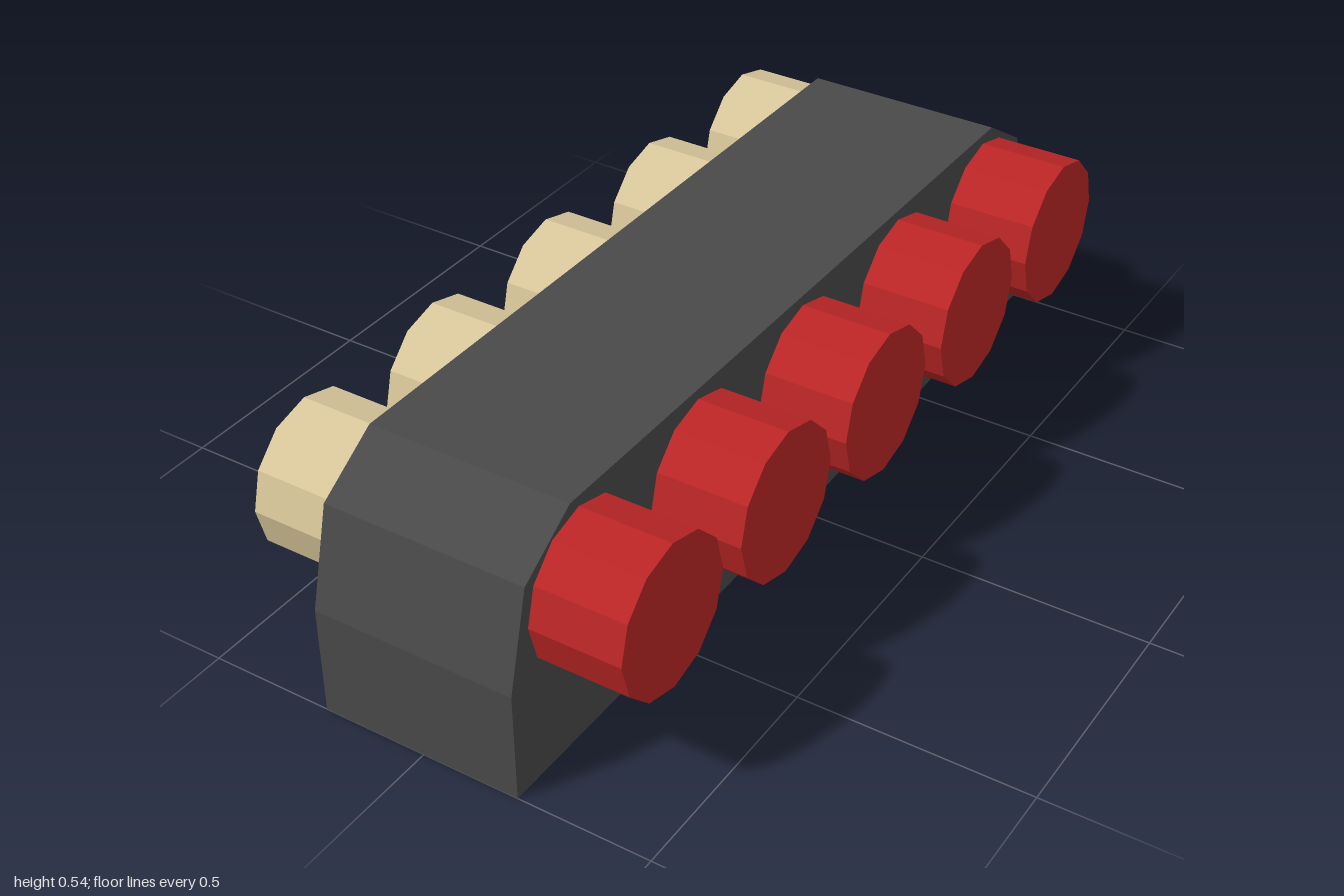
import * as THREE from 'three';

export function createModel() {
  const model = new THREE.Group();
  const material = (name, color) => {
    const m = new THREE.MeshStandardMaterial({ color, flatShading: true });
    m.name = name;
    return m;
  };
  const darkGrey = material('dark grey', 0x494949);
  const red = material('red', 0xba2525);
  const tan = material('tan', 0xd8c69a);

  // Long body: a side profile with bevelled upper ends, extruded across x
  const left = 0.213, right = -0.23;
  const half = [[1, 0], [1, 0.24], [0.945, 0.45], [0.805, 0.54]];
  const outline = [...half, ...half.map(([z, y]) => [-z, y]).reverse()];
  const profile = new THREE.Shape(outline.map(([z, y]) => new THREE.Vector2(z, y)));
  const bodyGeometry = new THREE.ExtrudeGeometry(profile, { depth: left - right, bevelEnabled: false });
  bodyGeometry.rotateY(Math.PI / 2).translate(right, 0, 0);
  const body = new THREE.Mesh(bodyGeometry, darkGrey);
  body.name = 'body';
  model.add(body);

  // A row of twelve-sided rollers on each side, sunk slightly into the body
  const addRollers = (name, inner, outer, mat) => {
    const row = new THREE.Group();
    row.name = name + 'Rollers';
    const geometry = new THREE.CylinderGeometry(0.162, 0.162, Math.abs(outer - inner), 12);
    geometry.rotateZ(Math.PI / 2);
    [0.78, 0.395, 0.013, -0.377, -0.765].forEach((z, i) => {
      const roller = new THREE.Mesh(geometry, mat);
      roller.name = name + 'Roller' + (i + 1);
      roller.position.set((inner + outer) / 2, 0.356, z);
      row.add(roller);
    });
    model.add(row);
  };
  addRollers('left', left - 0.02, 0.408, red);
  addRollers('right', right + 0.02, -0.408, tan);

  return model;
}
